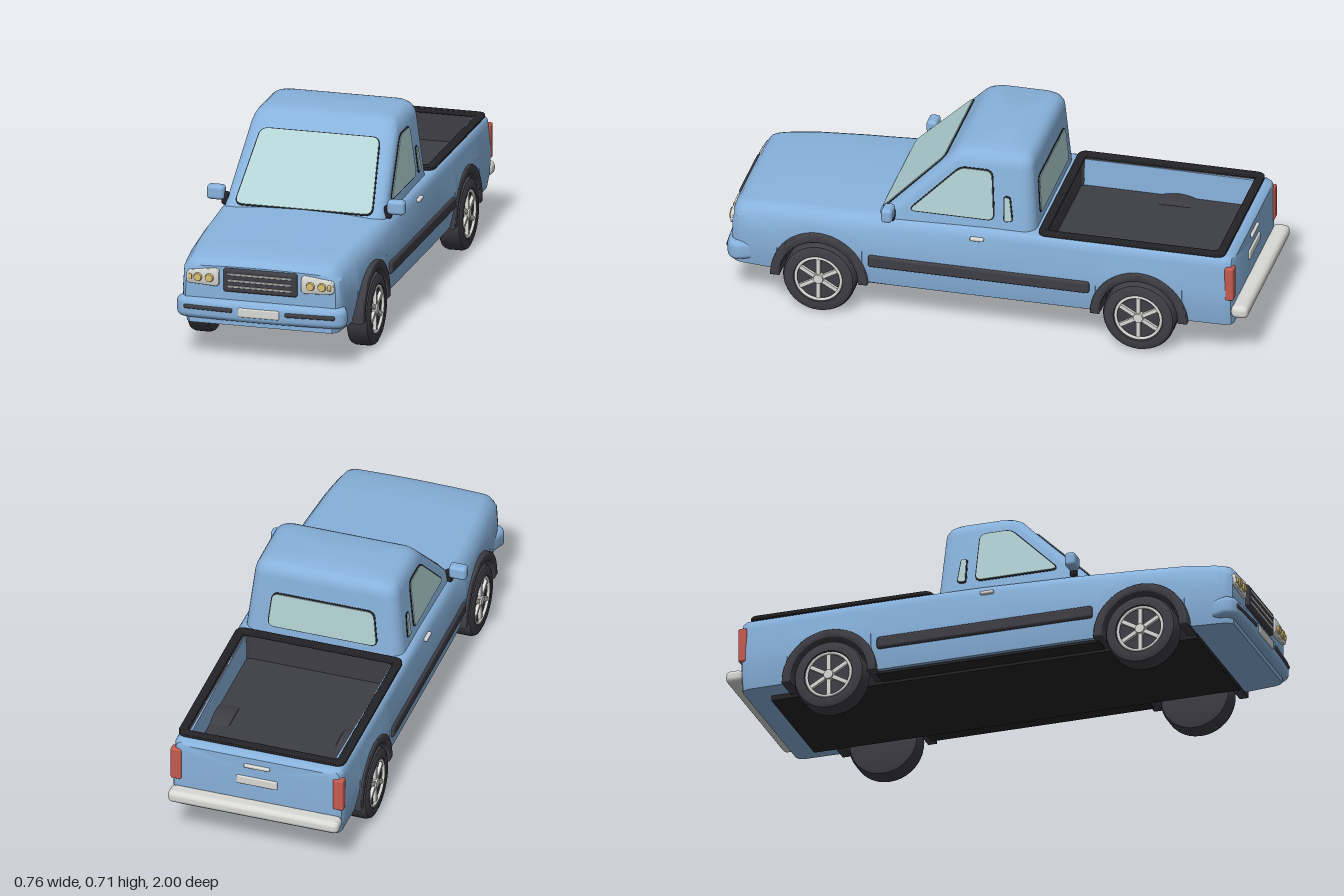
import * as THREE from 'three';
import { toCreasedNormals } from 'three/addons/utils/BufferGeometryUtils.js';
import { RoundedBoxGeometry } from 'three/addons/geometries/RoundedBoxGeometry.js';

const material = (name, color) => Object.assign(new THREE.MeshStandardMaterial({ color }), { name });
const V = (x, y, z) => new THREE.Vector3(x, y, z);

// Piecewise-linear lookup in [[key, value], ...]
function lookup(table, k) {
  if (k <= table[0][0]) return table[0][1];
  for (let i = 1; i < table.length; i++) {
    const [a, va] = table[i - 1], [b, vb] = table[i];
    if (k <= b) return va + (vb - va) * (k - a) / (b - a);
  }
  return table[table.length - 1][1];
}

// Skin closed cross-sections and cap both ends
function loft(sections, crease = 0.6) {
  const n = sections[0].length, pos = [];
  const tri = (...ps) => ps.forEach((p) => pos.push(p.x, p.y, p.z));
  for (let i = 0; i < sections.length - 1; i++) {
    for (let j = 0; j < n; j++) {
      const k = (j + 1) % n, A = sections[i], B = sections[i + 1];
      tri(A[j], A[k], B[k]);
      tri(A[j], B[k], B[j]);
    }
  }
  [sections[0], sections[sections.length - 1]].forEach((s, end) => {
    const c = s.reduce((a, p) => a.add(p), V(0, 0, 0)).divideScalar(n);
    s.forEach((p, j) => (end ? tri(c, p, s[(j + 1) % n]) : tri(c, s[(j + 1) % n], p)));
  });
  const g = new THREE.BufferGeometry();
  g.setAttribute('position', new THREE.Float32BufferAttribute(pos, 3));
  return toCreasedNormals(g, crease);
}

// Mirror a geometry across x = 0, keeping faces outward
function mirrored(geo) {
  const g = geo.index ? geo.toNonIndexed() : geo.clone();
  for (const key of Object.keys(g.attributes)) {
    const { array, itemSize: s } = g.attributes[key];
    for (let i = 0; i < array.length; i += 3 * s) {
      for (let c = 0; c < s; c++) {
        const t = array[i + s + c];
        array[i + s + c] = array[i + 2 * s + c];
        array[i + 2 * s + c] = t;
      }
    }
  }
  return g.scale(-1, 1, 1);
}

// Polygon with rounded corners
function roundPoly(pts, r, Type = THREE.Shape) {
  const s = new Type();
  pts.forEach(([x, y], i) => {
    const p = new THREE.Vector2(x, y);
    const toward = (q) => new THREE.Vector2(...q).sub(p).setLength(r).add(p);
    const a = toward(pts[(i + pts.length - 1) % pts.length]), b = toward(pts[(i + 1) % pts.length]);
    if (i) s.lineTo(a.x, a.y); else s.moveTo(a.x, a.y);
    s.quadraticCurveTo(x, y, b.x, b.y);
  });
  s.closePath();
  return s;
}
const rect = (x, y0, y1) => [[-x, y0], [x, y0], [x, y1], [-x, y1]];

// Extrude a shape out of the plane spanned by u and v
function onPlane(shape, depth, bevel, origin, u, v) {
  const g = new THREE.ExtrudeGeometry(shape, { depth, curveSegments: 16, bevelEnabled: bevel > 0,
    bevelSize: bevel, bevelThickness: Math.min(bevel, depth / 2), bevelSegments: 4 });
  const m = new THREE.Matrix4().makeBasis(u, v, u.clone().cross(v)).setPosition(origin);
  return toCreasedNormals(g.applyMatrix4(m), 0.7);
}

const ball = (w, h, d, x, y, z, r = 0.01) => new RoundedBoxGeometry(w, h, d, 3, r).translate(x, y, z);

const AXLES = [0.625, -0.59], ARCH = 0.165, SILL = 0.14;

// Body cross-section at z: open over the wheels, sunk at the load bed
function bodySection(z) {
  const w = lookup([[-0.942, 0.312], [-0.935, 0.328], [-0.915, 0.337], [-0.5, 0.343], [0.35, 0.343],
    [0.6, 0.336], [0.8, 0.322], [0.93, 0.308], [0.95, 0.302], [0.965, 0.288]], z);
  const t = lookup([[-0.942, 0.405], [-0.93, 0.42], [0, 0.42], [0.4, 0.412], [0.8, 0.4],
    [0.92, 0.388], [0.95, 0.378], [0.965, 0.36]], z);
  let b = SILL;
  for (const c of AXLES) if (Math.abs(z - c) < ARCH) b += Math.sqrt(ARCH ** 2 - (z - c) ** 2);
  const k = lookup([[-0.2, 1], [0.5, 1.5]], z), crown = lookup([[-0.1, 0], [0.35, 0.015], [0.95, 0.006]], z);
  const inset = (y) => (y < 0.22 ? (0.22 - y) * 0.2 : Math.max(0, y - 0.3) * 0.12);
  const bed = z < -0.202 && z > -0.904, top = t - 0.04;
  const half = [0, 0.25, 0.6, 1].map((f) => b + (top - b) * f).map((y) => [w - inset(y), y]);
  const xi = Math.min(0.3, w - 0.06);
  half.push([w - 0.012 * k, t - 0.016 * k], [w - 0.02 * k, t - 0.005 * k], [w - 0.032 * k, t],
    [xi, t + (bed ? 0 : crown * 0.2)], bed ? [xi - 0.002, 0.3] : [xi * 0.5, t + crown * 0.8],
    [0, bed ? 0.3 : t + crown]);
  const left = half.slice(0, -1).reverse().map(([x, y]) => [-x, y]);
  return [...half, ...left].map(([x, y]) => V(x, y, z));
}

// Horizontal rounded-rectangle section of the cab
function cabSection([y, w, zf, zb, r]) {
  const pts = [];
  for (let q = 0; q < 4; q++) {
    const cx = q === 0 || q === 3 ? w - r : r - w, cz = q < 2 ? zb + r : zf - r;
    for (let i = 0; i <= 6; i++) {
      const a = (q + i / 6) * Math.PI / 2;
      pts.push(V(cx + r * Math.cos(a), y, cz - r * Math.sin(a)));
    }
  }
  return pts;
}

export function createModel() {
  const paint = material('blue paint', 0x88b2dc), rubber = material('dark rubber', 0x3e3e45);
  const black = material('black trim', 0x232327), chrome = material('light metal', 0xd8d8d5);
  const glass = material('window glass', 0xb2d2d4), amber = material('lamp yellow', 0xdcc070);
  const red = material('tail lamp red', 0xc45a4e);
  const truck = new THREE.Group();
  truck.name = 'pickupTruck';
  const add = (name, geo, mat) => {
    const m = new THREE.Mesh(geo, mat);
    m.name = name;
    truck.add(m);
  };
  const pair = (name, geo, mat) => {
    add(name + 'Left', geo, mat);
    add(name + 'Right', mirrored(geo), mat);
  };

  // Body shell
  const zs = [-0.942, -0.935, -0.915, -0.905, -0.902, -0.203, -0.2, -0.1, 0, 0.2, 0.35, 0.85, 0.9, 0.93, 0.95, 0.96, 0.965];
  for (const c of AXLES) for (let i = 0; i <= 20; i++) zs.push(c + ARCH * Math.cos(Math.PI * i / 20));
  add('body', loft(zs.sort((a, b) => a - b).map(bodySection)), paint);

  // Cab
  add('cab', loft([[0.39, 0.31, 0.435, -0.188, 0.05], [0.66, 0.28, 0.165, -0.168, 0.05],
    [0.68, 0.275, 0.147, -0.166, 0.05], [0.698, 0.265, 0.13, -0.158, 0.05], [0.71, 0.25, 0.112, -0.145, 0.05],
    [0.716, 0.23, 0.09, -0.125, 0.05]].map(cabSection), 0.75), paint);

  // Windows: glass over a slightly larger dark seal
  const X = V(1, 0, 0), back = V(0, 0, -1), up = V(0, 1, 0), s = Math.SQRT1_2;
  const tilt = Math.atan(0.03 / 0.27), rear = Math.atan(0.02 / 0.27);
  const sideUp = V(-Math.sin(tilt), Math.cos(tilt), 0);
  const pane = (put, name, pts, r, o, u, v) => {
    const shape = roundPoly(pts, r);
    put(name + 'Seal', onPlane(shape, 0.002, 0.005, o, u, v), black);
    put(name, onPlane(shape, 0.006, 0, o, u, v), glass);
  };
  pane(add, 'windshield', [[-0.262, 0], [0.262, 0], [0.226, 0.32], [-0.226, 0.32]], 0.03, V(0, 0.425, 0.4), X, V(0, s, -s));
  pane(add, 'rearWindow', [[-0.21, 0], [0.21, 0], [0.195, 0.14], [-0.195, 0.14]], 0.025,
    V(0, 0.455, -0.183), V(-1, 0, 0), V(0, Math.cos(rear), Math.sin(rear)));
  const sideO = V(0.3067, 0.42, 0);
  pane(pair, 'doorWindow', [[-0.29, 0.035], [0.03, 0.035], [0.018, 0.228], [-0.1, 0.228]], 0.025, sideO, back, sideUp);
  pane(pair, 'quarterWindow', [[0.072, 0.035], [0.1, 0.04], [0.088, 0.13], [0.07, 0.13]], 0.008, sideO, back, sideUp);

  // Load bed liner: raised rim, walls and floor
  const bedRing = (x, z, wall, r) => {
    const shape = roundPoly(rect(x, 0.555 - z, 0.555 + z), r);
    shape.holes.push(roundPoly(rect(x - wall, 0.555 - z + wall, 0.555 + z - wall), r * 0.8, THREE.Path));
    return shape;
  };
  add('bedRim', onPlane(bedRing(0.318, 0.349, 0.02, 0.03), 0.008, 0.006, V(0, 0.423, 0), X, back), black);
  add('bedWalls', onPlane(bedRing(0.299, 0.35, 0.014, 0.03), 0.115, 0, V(0, 0.305, 0), X, back), rubber);
  add('bedFloor', new THREE.BoxGeometry(0.595, 0.012, 0.696).translate(0, 0.306, -0.553), rubber);

  // Underbody
  add('chassis', new THREE.BoxGeometry(0.48, 0.17, 1.66).translate(0, 0.205, -0.02), black);
  add('floorPan', new THREE.BoxGeometry(0.62, 0.012, 0.87).translate(0, 0.136, 0.017), black);

  // Wheels and arches
  const tyre = [[0, -0.045], [0.115, -0.045], [0.131, -0.039], [0.137, -0.026], [0.137, 0.026], [0.131, 0.039],
    [0.118, 0.045], [0.094, 0.045], [0.088, 0.028], [0, 0.028]].map((p) => new THREE.Vector2(...p));
  AXLES.forEach((z, i) => {
    const end = i ? 'rear' : 'front', at = (g) => g.translate(0.307, 0.14, z);
    pair(end + 'Tyre', at(toCreasedNormals(new THREE.LatheGeometry(tyre, 40).rotateZ(-Math.PI / 2), 0.6)), rubber);
    pair(end + 'RimRing', at(new THREE.TorusGeometry(0.086, 0.006, 8, 36).rotateY(Math.PI / 2).translate(0.038, 0, 0)), chrome);
    pair(end + 'Hub', at(new THREE.CylinderGeometry(0.018, 0.024, 0.02, 20).rotateZ(-Math.PI / 2).translate(0.035, 0, 0)), chrome);
    for (let k = 0; k < 6; k++) {
      pair(end + 'Spoke' + (k + 1), at(new THREE.BoxGeometry(0.012, 0.072, 0.015).translate(0.034, 0.05, 0)
        .rotateX(k * Math.PI / 3)), chrome);
    }
    const arch = new THREE.Shape().absarc(0, 0, 0.178, 0, Math.PI, false);
    arch.absarc(0, 0, 0.155, Math.PI, 0, true);
    pair(end + 'WheelArch', onPlane(arch, 0.13, 0.006, V(0.212, SILL, z), back, up), rubber);
  });

  // Side trim, door handles and mirrors
  pair('sideTrim', ball(0.03, 0.048, 0.84, 0.337, 0.24, 0.017), rubber);
  pair('doorHandle', ball(0.016, 0.014, 0.052, 0.338, 0.383, 0.025, 0.005), chrome);
  pair('mirrorArm', ball(0.03, 0.05, 0.025, 0.312, 0.43, 0.355), black);
  pair('mirror', ball(0.068, 0.055, 0.042, 0.346, 0.453, 0.36, 0.014), paint);

  // Front bumper with slots and plate
  const plan = new THREE.Shape();
  plan.moveTo(-0.285, 0.9);
  plan.lineTo(0.285, 0.9);
  plan.lineTo(0.303, 0.945);
  plan.quadraticCurveTo(0.3, 0.96, 0.28, 0.963);
  plan.quadraticCurveTo(0, 0.985, -0.28, 0.963);
  plan.quadraticCurveTo(-0.3, 0.96, -0.303, 0.945);
  const bumper = new THREE.ExtrudeGeometry(plan, { depth: 0.034, bevelSize: 0.022, bevelThickness: 0.022, bevelSegments: 5 });
  add('frontBumper', toCreasedNormals(bumper.rotateX(Math.PI / 2).translate(0, 0.216, 0), 0.8), paint);
  pair('bumperSlot', ball(0.19, 0.017, 0.024, 0, 0, 0, 0.007).rotateY(0.06).translate(0.195, 0.205, 0.983), rubber);
  add('frontPlate', ball(0.158, 0.035, 0.02, 0, 0.201, 0.99, 0.006), chrome);

  // Grille
  add('grille', ball(0.284, 0.09, 0.03, 0, 0.315, 0.963), rubber);
  [0.34, 0.316, 0.293].forEach((y, i) => add('grilleBar' + (i + 1), ball(0.246, 0.007, 0.012, 0, y, 0.977, 0.003), chrome));

  // Headlights
  const lamp = roundPoly([[0.162, 0.292], [0.279, 0.298], [0.277, 0.338], [0.162, 0.352]], 0.012);
  pair('headlight', onPlane(lamp, 0.036, 0.005, V(0, 0, 0.935), X, up), chrome);
  [0.194, 0.238].forEach((x, i) => pair('headlightBulb' + (i + 1),
    new THREE.CylinderGeometry(0.014, 0.017, 0.01, 24).rotateX(Math.PI / 2).translate(x, 0.319, 0.979), amber));
  pair('turnSignal', ball(0.013, 0.022, 0.012, 0.267, 0.319, 0.976, 0.004), amber);

  // Rear bumper, lamps, handle and plate
  add('rearBumper', ball(0.664, 0.05, 0.065, 0, 0.2, -0.9675, 0.02), chrome);
  pair('tailLamp', ball(0.042, 0.135, 0.034, 0.315, 0.318, -0.931, 0.008), red);
  add('tailgateHandle', ball(0.1, 0.014, 0.016, 0, 0.372, -0.944, 0.005), chrome);
  add('rearPlate', ball(0.158, 0.035, 0.012, 0, 0.305, -0.943, 0.005), chrome);
  return truck;
}
